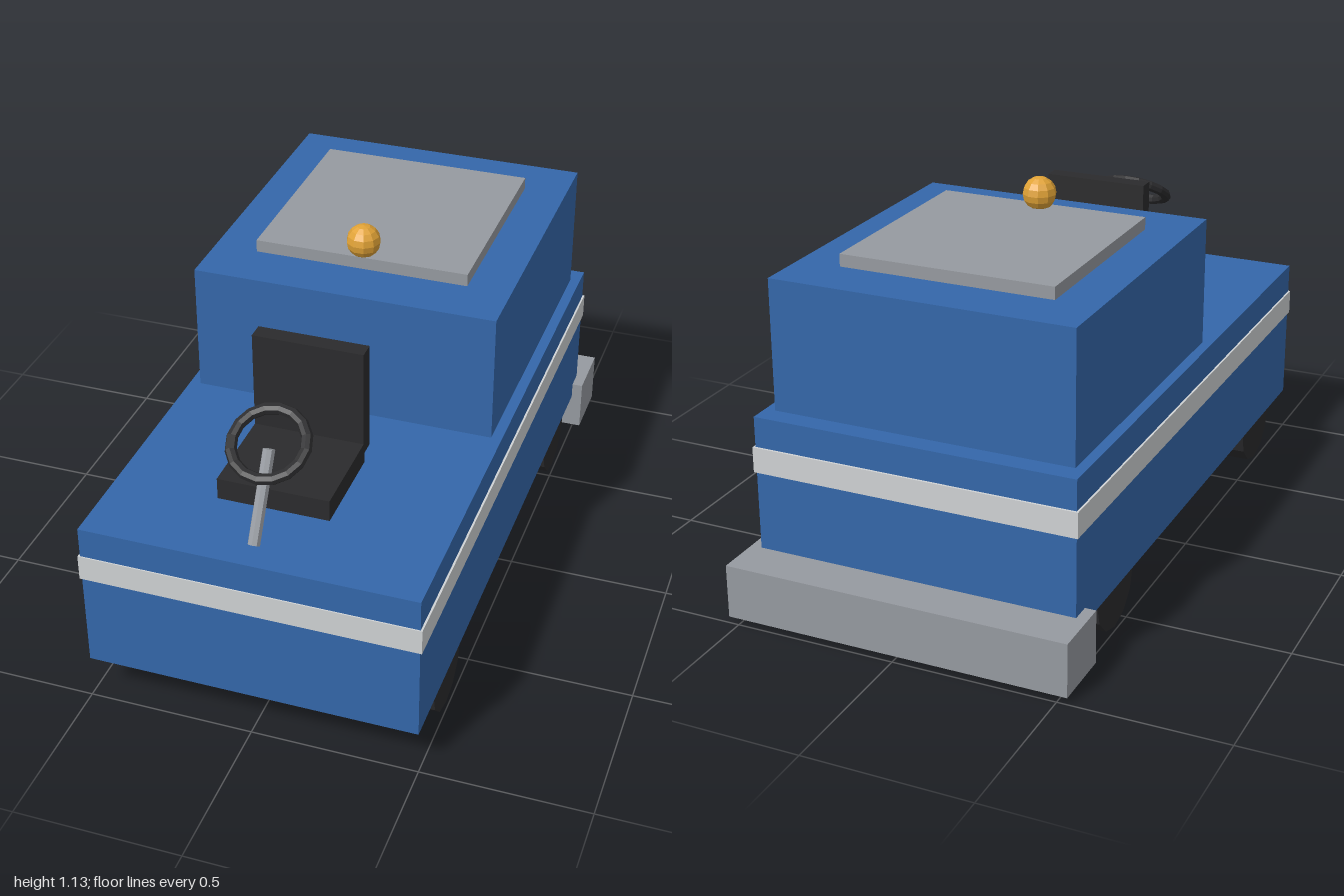
import * as THREE from 'three';

const paint = (color) => new THREE.MeshStandardMaterial({ color, flatShading: true });

export function createModel() {
  const model = new THREE.Group();
  model.name = 'utilityVehicle';
  const blue = paint(0x3467aa);
  const grey = paint(0x969aa0);
  const silver = paint(0xcfd2d4);
  const black = paint(0x2b2b2d);
  const amber = paint(0xe0a236);

  const add = (name, geometry, material, x, y, z) => {
    const mesh = new THREE.Mesh(geometry, material);
    mesh.name = name;
    mesh.position.set(x, y, z);
    model.add(mesh);
    return mesh;
  };
  // Box centred on x, given its half width and its y and z ranges
  const box = (name, material, halfX, y0, y1, z0, z1) =>
    add(name, new THREE.BoxGeometry(halfX * 2, y1 - y0, z1 - z0), material,
      0, (y0 + y1) / 2, (z0 + z1) / 2);

  // Body
  box('chassis', blue, 0.497, 0.135, 0.6, -0.863, 0.996);
  box('trimBand', silver, 0.503, 0.429, 0.507, -0.87, 1.0);
  box('engineHousing', blue, 0.465, 0.6, 1.0, -0.8, 0.197);
  box('roofPanel', grey, 0.331, 1.0, 1.038, -0.634, 0.03);
  box('rearBumper', grey, 0.531, 0.02, 0.185, -1.0, -0.802);

  // Driver's seat
  box('seatCushion', black, 0.166, 0.635, 0.701, 0.482, 0.78);
  box('seatBack', black, 0.166, 0.667, 1.0, 0.438, 0.49);

  // Warning beacon
  add('beacon', new THREE.SphereGeometry(0.052, 10, 8), amber, 0, 1.079, 0);

  // Steering column and wheel
  const column = add('steeringColumn', new THREE.CylinderGeometry(0.018, 0.018, 0.265, 8),
    grey, 0, 0.734, 0.862);
  column.rotation.x = -0.52;
  const steering = add('steeringWheel', new THREE.TorusGeometry(0.106, 0.017, 8, 16),
    black, 0, 0.867, 0.796);
  steering.rotation.x = -1.0;

  // Wheels
  const wheelGeometry = new THREE.CylinderGeometry(0.133, 0.133, 0.12, 12).rotateZ(Math.PI / 2);
  for (const [end, z] of [['front', 0.7], ['rear', -0.565]]) {
    for (const [side, x] of [['Left', 0.431], ['Right', -0.431]]) {
      add(`${end}${side}Wheel`, wheelGeometry, black, x, 0.133, z);
    }
  }

  return model;
}
